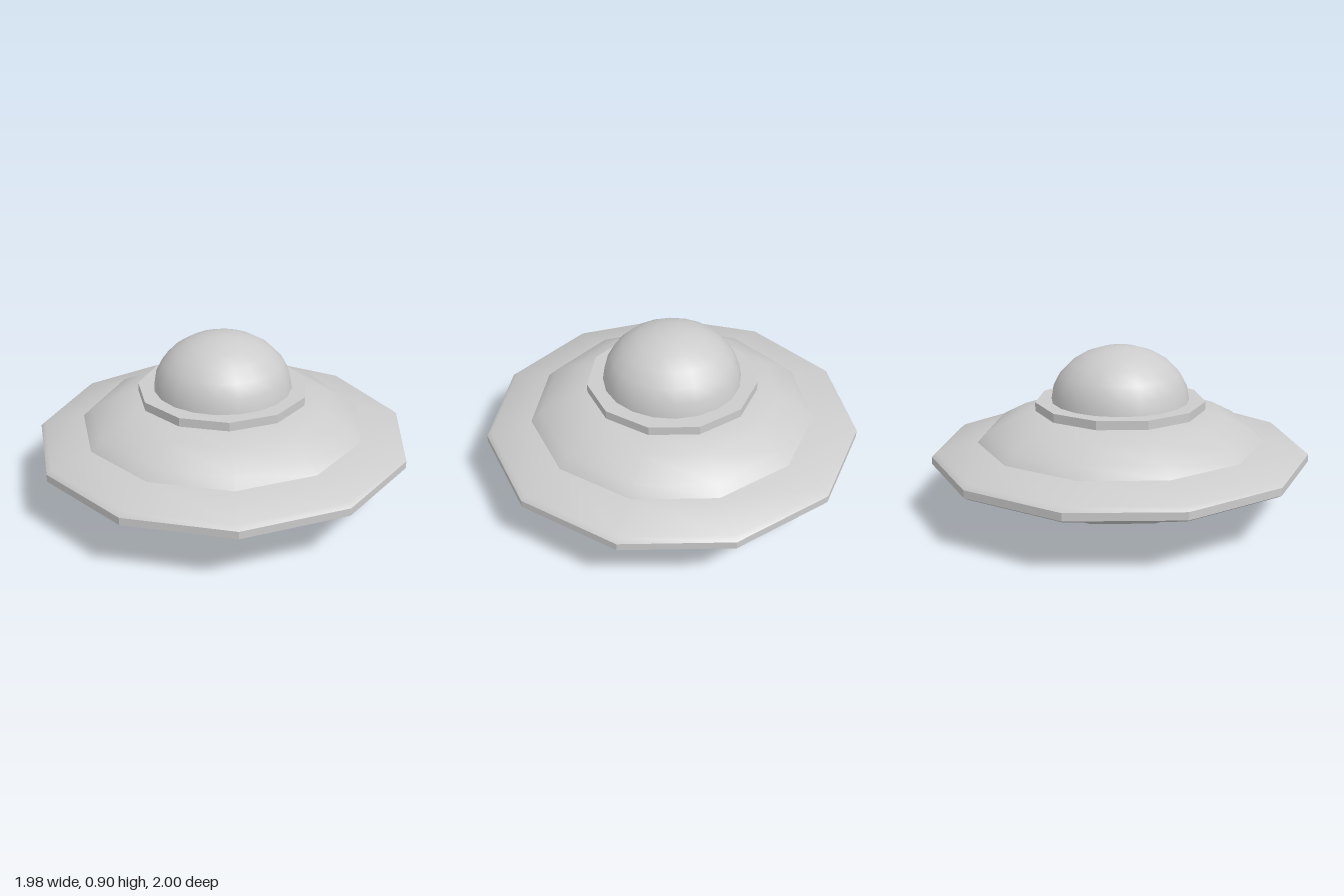
import * as THREE from 'three';
import { toCreasedNormals } from 'three/addons/utils/BufferGeometryUtils.js';

const SIDES = 11;
const material = new THREE.MeshStandardMaterial({ color: 0xcccccc });

// Revolve a bottom-to-top [radius, y] profile, with the first corner on +x
function turned(name, profile, sides = SIDES) {
  const points = profile.map(([r, y]) => new THREE.Vector2(r, y));
  const lathe = new THREE.LatheGeometry(points, sides, Math.PI / 2);
  const mesh = new THREE.Mesh(toCreasedNormals(lathe, 0.55), material);
  mesh.name = name;
  return mesh;
}

export function createModel() {
  const saucer = new THREE.Group();
  saucer.name = 'flyingSaucer';
  // The odd number of sides sets the axis slightly off the middle
  saucer.position.x = -0.02;

  // Curved underside, thin bevelled brim and curved upper hull
  saucer.add(turned('hull', [
    [0, 0.063], [0.355, 0.063], [0.57, 0.11], [0.714, 0.18], [0.767, 0.23],
    [0.985, 0.28], [1.01, 0.295], [1.01, 0.335], [0.985, 0.355],
    [0.767, 0.403], [0.714, 0.455], [0.577, 0.527], [0.45, 0.565], [0, 0.565],
  ]));

  // Shallow bulging plate under the hull
  saucer.add(turned('bellyPlate', [
    [0, 0], [0.185, 0.013], [0.355, 0.048], [0.355, 0.07], [0, 0.07],
  ]));

  // Flat collar around the foot of the dome
  saucer.add(turned('collar', [
    [0, 0.563], [0.457, 0.563], [0.457, 0.61], [0, 0.61],
  ]));

  // Smooth cockpit dome
  const dome = [];
  for (let i = 0; i <= 6; i++) {
    const a = (i / 6) * Math.PI / 2;
    dome.push([i === 6 ? 0 : 0.37 * Math.cos(a), 0.61 + 0.29 * Math.sin(a)]);
  }
  saucer.add(turned('dome', dome, 20));

  const model = new THREE.Group();
  model.add(saucer);
  return model;
}
